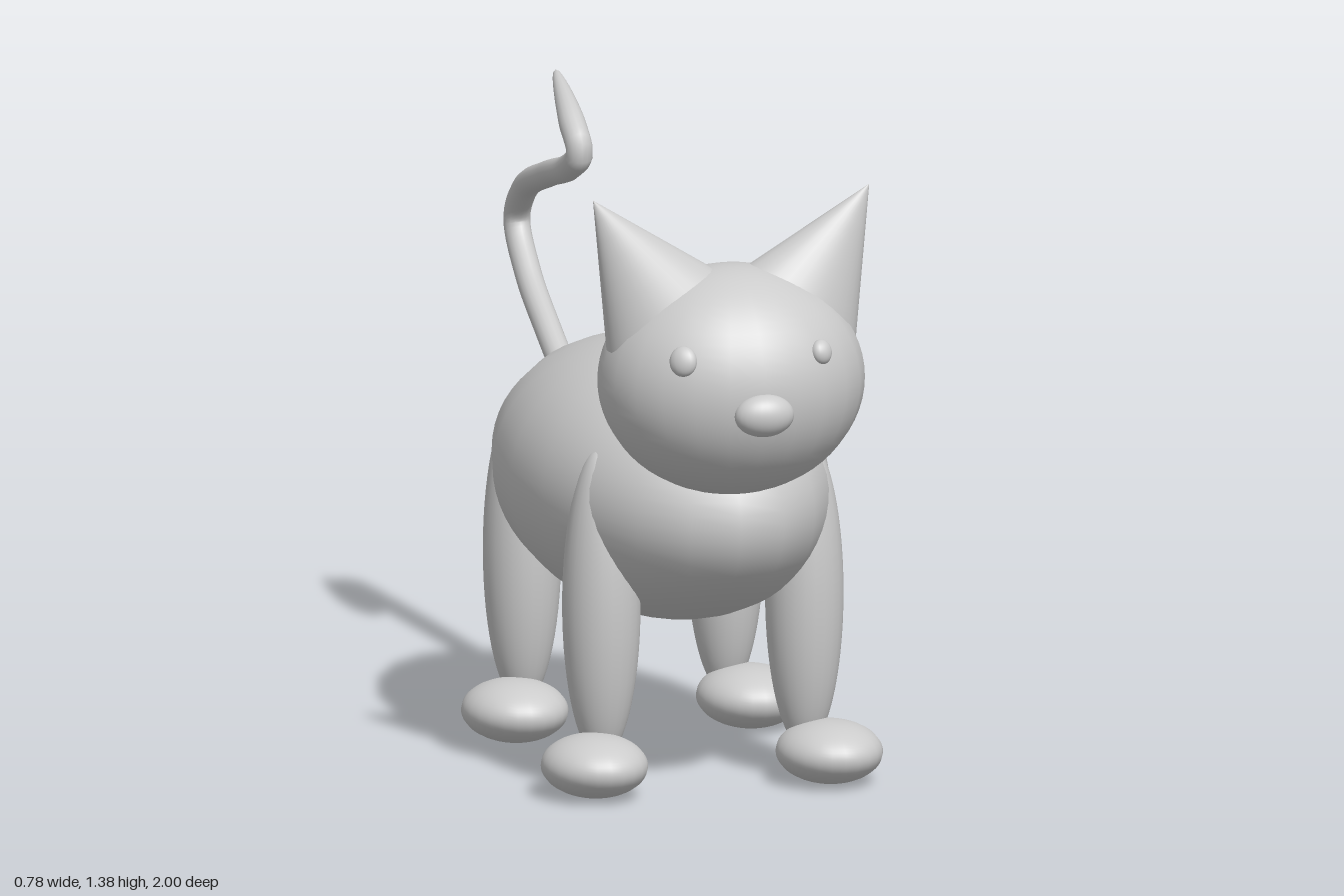
import * as THREE from 'three';

const material = new THREE.MeshStandardMaterial({ color: 0xcccccc });

function addMesh(parent, name, geometry) {
  const mesh = new THREE.Mesh(geometry, material);
  mesh.name = name;
  parent.add(mesh);
  return mesh;
}

// Smooth ellipsoid given its centre and half sizes
function ellipsoid(parent, name, center, radii, sides = 24) {
  const mesh = addMesh(parent, name, new THREE.SphereGeometry(1, sides, 32));
  mesh.position.set(...center);
  mesh.scale.set(...radii);
  return mesh;
}

// Tube whose last part narrows to a point
function taperedTube(path, radius, steps, sides, taperStart) {
  const geometry = new THREE.TubeGeometry(path, steps, radius, sides, false);
  const pos = geometry.attributes.position;
  const v = new THREE.Vector3();
  for (let i = 0; i <= steps; i++) {
    const t = i / steps;
    if (t < taperStart) continue;
    const k = Math.sqrt(Math.max(0, 1 - (t - taperStart) / (1 - taperStart)));
    const c = path.getPointAt(t);
    for (let j = 0; j <= sides; j++) {
      const n = i * (sides + 1) + j;
      v.fromBufferAttribute(pos, n).sub(c).multiplyScalar(k).add(c);
      pos.setXYZ(n, v.x, v.y, v.z);
    }
  }
  geometry.computeVertexNormals();
  return geometry;
}

export function createModel() {
  const model = new THREE.Group();
  model.name = 'cat';

  ellipsoid(model, 'body', [0, 0.633, 0.155], [0.35, 0.303, 0.625], 20);

  // Head with face
  const head = new THREE.Group();
  head.name = 'head';
  model.add(head);
  ellipsoid(head, 'skull', [0, 0.963, 0.7], [0.3, 0.258, 0.262], 24);
  ellipsoid(head, 'nose', [0, 0.93, 0.958], [0.068, 0.048, 0.042]);
  const rightEye = ellipsoid(head, 'rightEye', [-0.169, 1.05, 0.896], [0.032, 0.034, 0.02], 16);
  rightEye.rotation.set(-0.35, -0.6, 0);
  const leftEye = ellipsoid(head, 'leftEye', [0.148, 1.055, 0.906], [0.026, 0.028, 0.02], 16);
  leftEye.rotation.set(-0.35, 0.5, 0);

  for (const side of [-1, 1]) {
    const label = side > 0 ? 'left' : 'right';

    // Ear: flattened cone leaning outwards, tip at the origin
    const earLength = 0.35;
    const cone = new THREE.ConeGeometry(1, earLength, 32, 8);
    cone.translate(0, -earLength / 2, 0);
    const ear = addMesh(head, label + 'Ear', cone);
    ear.scale.set(0.174, 1, 0.114);
    ear.rotation.z = -side * 0.561;
    ear.position.set(side * 0.32, 1.385, 0.7);

    // Legs and paws
    for (const [end, legZ, pawZ] of [['Front', 0.48, 0.55], ['Back', -0.137, -0.07]]) {
      ellipsoid(model, label + end + 'Leg', [side * 0.235, 0.42, legZ], [0.087, 0.355, 0.09]);
      ellipsoid(model, label + end + 'Paw', [side * 0.272, 0.07, pawZ], [0.118, 0.07, 0.135]);
    }
  }

  // Tail: S-curve in the middle plane, tip slightly to the left
  const tailPath = new THREE.CatmullRomCurve3([
    [0, 0.625, -0.42], [0, 0.78, -0.717], [0, 0.88, -0.88],
    [0, 0.985, -0.968], [0, 1.068, -0.904], [0, 1.139, -0.717],
    [0, 1.187, -0.556], [0, 1.235, -0.478], [0, 1.292, -0.54],
    [0.02, 1.37, -0.735],
  ].map((p) => new THREE.Vector3(...p)));
  addMesh(model, 'tail', taperedTube(tailPath, 0.03, 96, 16, 0.86));

  return model;
}
